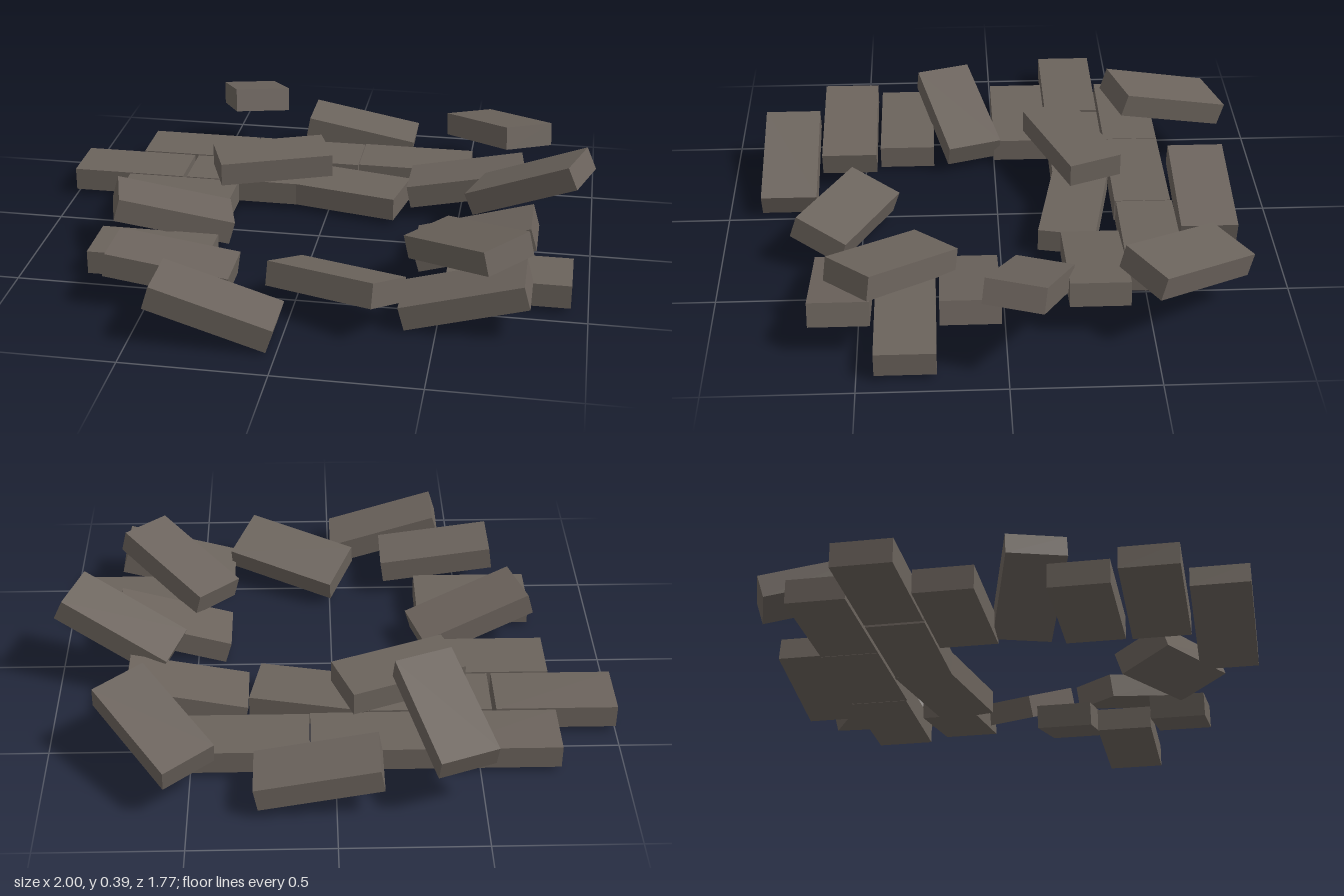
import * as THREE from 'three';

// Scattered ring of identical loose bricks: [x, y, z, yaw, roll, pitch]
const BRICKS = {
  flatBrick: [
    [-0.785, 0.065, -0.315], [-0.34, 0.065, -0.315], [0.07, 0.065, -0.278, -0.2],
    [-0.563, 0.065, -0.53], [-0.13, 0.065, -0.53], [0.303, 0.065, -0.535],
    [-0.563, 0.065, -0.102], [-0.545, 0.055, 0.338], [0.725, 0.065, 0.338],
    [-0.23, 0.17, -0.288, 0.37],
  ],
  leaningBrick: [
    [0.52, 0.128, -0.315, 0, 0.2], [0.06, 0.12, -0.75, 0, -0.18],
    [-0.42, 0.137, 0.555, 0, -0.14], [-0.225, 0.115, 0.775, 0, -0.3],
    [0.59, 0.108, 0.555, 0, 0.27], [0.592, 0.103, 0.12, 0, 0.28],
  ],
  tumbledBrick: [
    [-0.52, 0.135, 0.137, 0.29, -0.28], [0.147, 0.12, 0.556, -0.44, 0.1, -0.3],
    [0.578, 0.205, 0.382, -0.78, 0.25, 0.08], [0.765, 0.25, -0.075, -0.31, 0.44],
    [0.617, 0.22, -0.618, -0.92, 0.22, -0.1], [-0.365, 0.285, -0.648, -1.24, 0.3, -0.04],
  ],
};

export function createModel() {
  const group = new THREE.Group();
  group.name = 'brickPile';
  const stone = new THREE.MeshStandardMaterial({ color: 0x6b635c });
  stone.name = 'greyBrownStone';
  const geometry = new THREE.BoxGeometry(0.43, 0.086, 0.206);

  for (const [name, list] of Object.entries(BRICKS)) {
    list.forEach(([x, y, z, yaw = 0, roll = 0, pitch = 0], i) => {
      const brick = new THREE.Mesh(geometry, stone);
      brick.name = name + (i + 1);
      brick.position.set(x, y, z);
      brick.rotation.set(pitch, yaw, roll, 'YZX');
      group.add(brick);
    });
  }
  return group;
}
